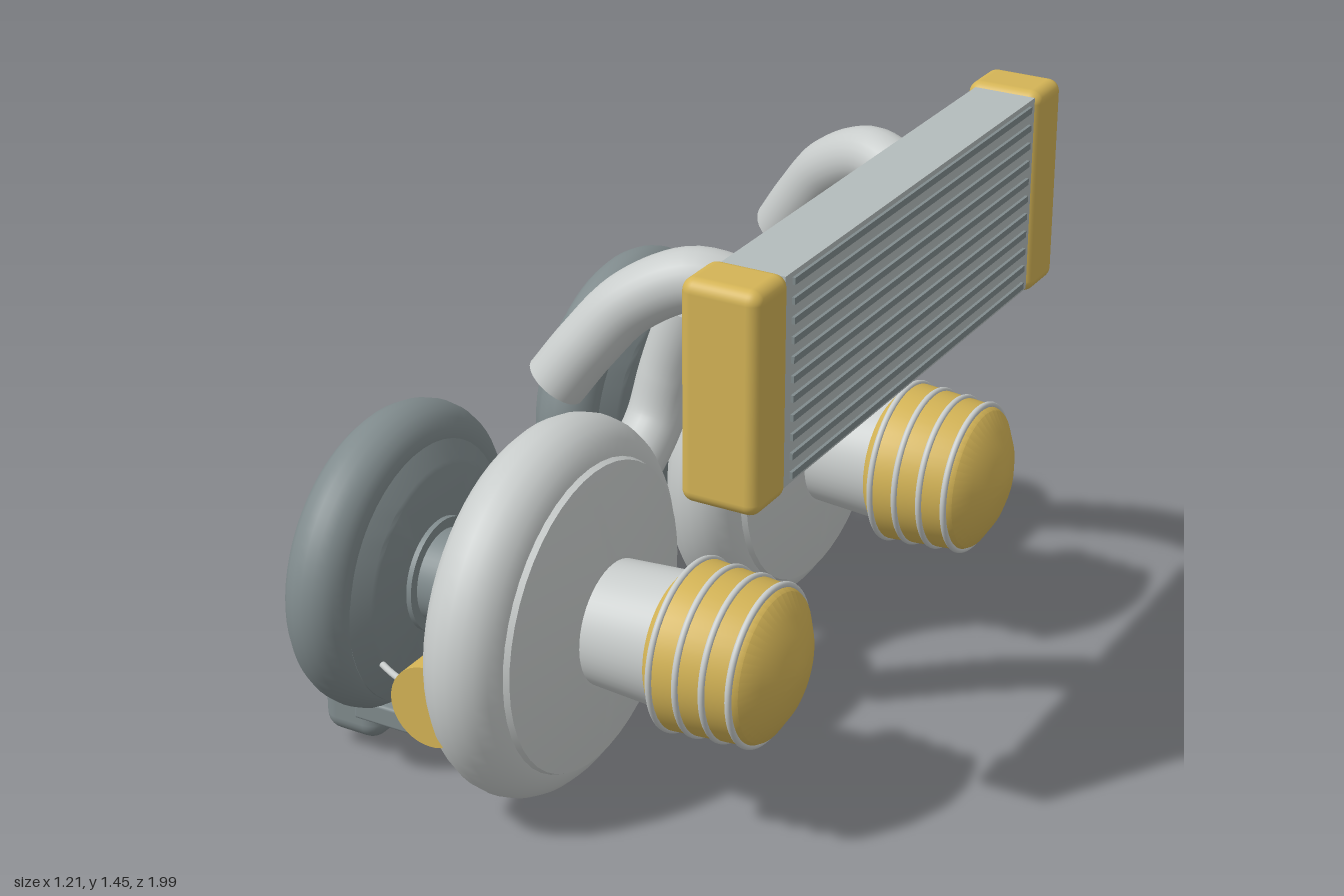
import * as THREE from 'three';
import { toCreasedNormals } from 'three/addons/utils/BufferGeometryUtils.js';
import { RoundedBoxGeometry } from 'three/addons/geometries/RoundedBoxGeometry.js';

const material = (name, color) => {
  const m = new THREE.MeshStandardMaterial({ color });
  m.name = name;
  return m;
};

export function createModel() {
  const model = new THREE.Group();
  model.name = 'twinTurboAssembly';
  const silver = material('cast aluminium', 0xc8cccb);
  const core = material('cooler core', 0xb4bcbc);
  const iron = material('dark iron', 0x808b8d);
  const gold = material('brass', 0xd4b456);

  const add = (parent, name, geometry, mat, x = 0, y = 0, z = 0) => {
    const mesh = new THREE.Mesh(geometry, mat);
    mesh.name = name;
    mesh.position.set(x, y, z);
    parent.add(mesh);
    return mesh;
  };
  // Turned part about the x axis, profile given as [x, radius]
  const turned = (profile) => {
    const g = new THREE.LatheGeometry(profile.map(([x, r]) => new THREE.Vector2(r, x)), 48);
    g.rotateZ(-Math.PI / 2);
    return toCreasedNormals(g, 0.5);
  };
  const ring = (R, r, x = 0) => new THREE.TorusGeometry(R, r, 20, 64).rotateY(Math.PI / 2).translate(x, 0, 0);

  // Round pipe through points, with closed ends
  const pipe = (parent, name, points, r, mat) => {
    const curve = new THREE.CatmullRomCurve3(points.map((p) => new THREE.Vector3(...p)));
    const group = new THREE.Group();
    group.name = name;
    parent.add(group);
    add(group, name + 'Wall', new THREE.TubeGeometry(curve, 32, r, 24), mat);
    for (const t of [0, 1]) {
      const p = curve.getPointAt(t);
      const dir = curve.getTangentAt(t).multiplyScalar(t ? 1 : -1);
      const cap = add(group, name + 'End', new THREE.CircleGeometry(r, 24), mat, p.x, p.y, p.z);
      cap.quaternion.setFromUnitVectors(new THREE.Vector3(0, 0, 1), dir);
    }
  };

  for (const s of [1, -1]) {
    const turbo = new THREE.Group();
    turbo.name = s > 0 ? 'frontTurbo' : 'rearTurbo';
    turbo.position.set(0, 0.46, s * 0.54);
    model.add(turbo);

    // Compressor housing with inlet
    add(turbo, 'compressorVolute', ring(0.35, 0.105, -0.045), silver);
    add(turbo, 'compressorCover', turned([
      [-0.1, 0], [-0.1, 0.3], [0.03, 0.385], [0.07, 0.37], [0.115, 0.16],
      [0.115, 0.15], [0.29, 0.161], [0.29, 0]]), silver);

    // Intake filter with bands
    add(turbo, 'intakeFilter', turned([
      [0.262, 0], [0.262, 0.13], [0.307, 0.19], [0.325, 0.2], [0.515, 0.186], [0.535, 0.175],
      [0.565, 0.128], [0.585, 0.08], [0.597, 0.03], [0.6, 0]]), gold);
    for (let i = 0; i < 4; i++) {
      add(turbo, 'filterBand', ring(0.199 - i * 0.0045, 0.008, 0.323 + i * 0.0645), silver);
    }

    // Shaft housing and turbine housing
    add(turbo, 'shaftHousing', turned([[-0.4, 0], [-0.4, 0.115], [-0.09, 0.115], [-0.09, 0]]), iron);
    add(turbo, 'shaftCollar', turned([[-0.37, 0], [-0.37, 0.14], [-0.347, 0.14], [-0.347, 0]]), iron);
    add(turbo, 'turbineHousing', turned([
      [-0.61, 0], [-0.61, 0.26], [-0.6, 0.275], [-0.555, 0.32], [-0.395, 0.32],
      [-0.365, 0.275], [-0.36, 0.265], [-0.36, 0]]), iron);
    const volute = add(turbo, 'turbineVolute', ring(0.312, 0.082, -0.475), iron, 0, 0.024, 0);
    volute.scale.y = 0.94;
    add(turbo, 'turbineFlange', new RoundedBoxGeometry(0.16, 0.055, 0.34, 2, 0.008), iron, -0.425, -0.322, 0);

    // Wastegate actuator and rod
    add(turbo, 'actuator', new THREE.CylinderGeometry(0.1, 0.1, 0.085, 40).rotateX(Math.PI / 2),
      gold, -0.125, -0.09, s * 0.362);
    pipe(turbo, 'actuatorRod', [
      [-0.37, -0.13, s * 0.235], [-0.3, -0.115, s * 0.285], [-0.2, -0.1, s * 0.34]], 0.008, silver);

    // Compressor outlet rising to the middle
    pipe(model, 'outletPipe', [
      [-0.045, 0.64, s * 0.25], [-0.045, 0.68, s * 0.16], [-0.04, 0.75, s * 0.085],
      [-0.02, 0.87, s * 0.056], [0.04, 1.05, s * 0.054]], 0.07, silver);
    // Charge pipe into the cooler
    pipe(model, 'chargePipe', [
      [-0.03, 1.03, s * 0.535], [0.04, 1.13, s * 0.51], [0.13, 1.235, s * 0.475],
      [0.26, 1.3, s * 0.43], [0.36, 1.28, s * 0.395], [0.45, 1.245, s * 0.365]], 0.072, silver);
    // Cooler end tank
    add(model, 'endTank', new RoundedBoxGeometry(0.19, 0.515, 0.145, 4, 0.03), gold, 0.507, 1.198, s * 0.692);
  }

  // Cooler core with fins
  add(model, 'coolerCore', new THREE.BoxGeometry(0.155, 0.49, 1.25), core, 0.513, 1.2, 0);
  for (let i = 0; i < 11; i++) {
    add(model, 'coolerFin', new THREE.BoxGeometry(0.02, 0.016, 1.19), iron, 0.588, 0.975 + i * 0.045, 0);
  }

  // Exhaust manifold bar under the turbines
  add(model, 'exhaustManifold', new RoundedBoxGeometry(0.165, 0.143, 1.4, 4, 0.045), iron, -0.527, 0.116, 0);
  return model;
}
